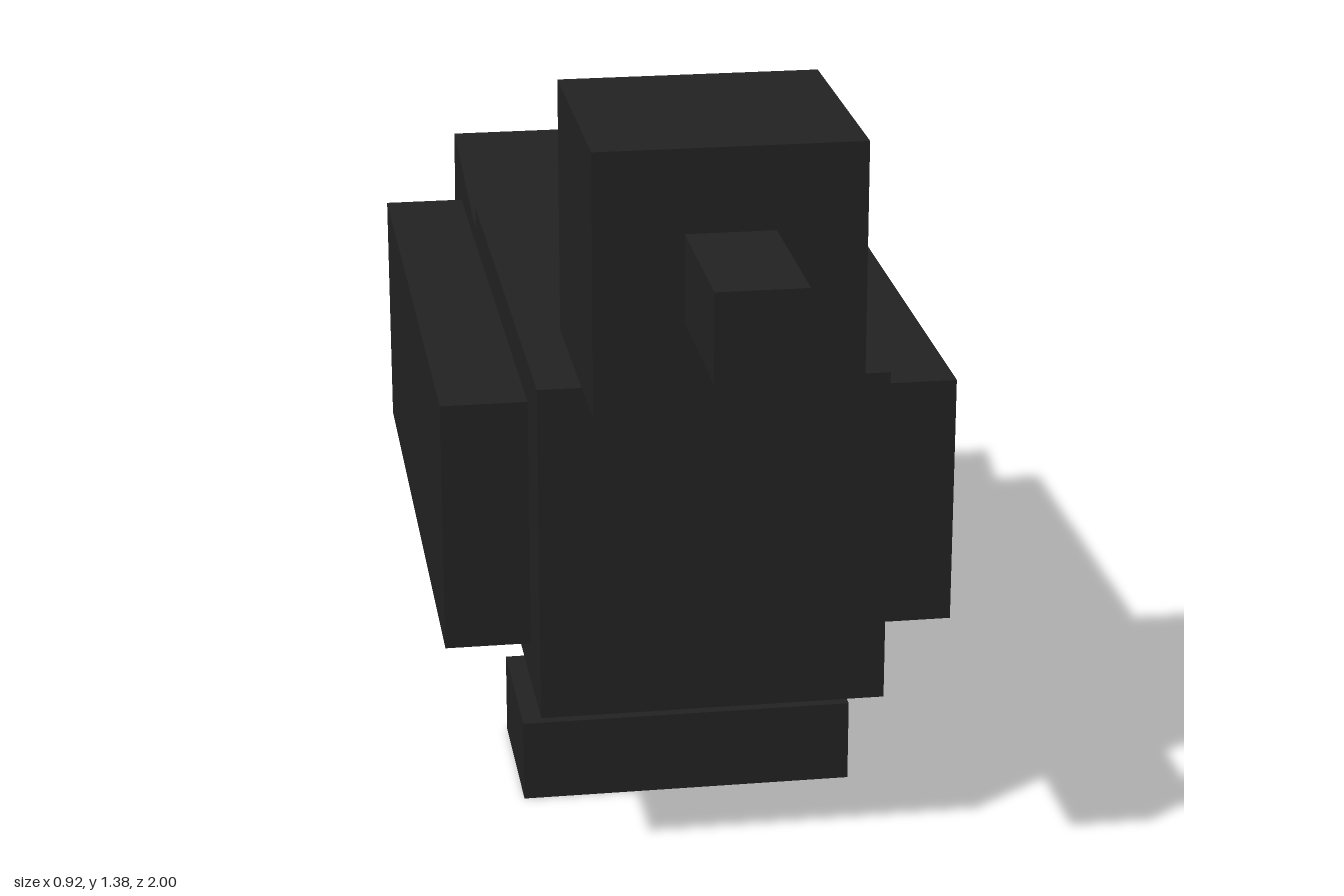
import * as THREE from 'three';

const U = 0.0768; // one block unit

export function createModel() {
  const group = new THREE.Group();
  const black = new THREE.MeshStandardMaterial({ color: 0x222222 });
  black.name = 'black';

  // box given by its size in block units and its centre
  function box(name, w, h, d, x, y, z) {
    const mesh = new THREE.Mesh(new THREE.BoxGeometry(w * U, h * U, d * U), black);
    mesh.name = name;
    mesh.position.set(x, y, z);
    group.add(mesh);
    return mesh;
  }

  box('body', 8, 8, 14, 0, 8 * U, 0.002);
  box('head', 6, 6, 6, 0, 15 * U, 0.463);
  box('beak', 2, 2, 4, 0, 15.1 * U, 0.846);

  // tail slopes up towards the back
  const tail = box('tail', 8, 2, 6.25, 0, 0.833, -0.748);
  tail.rotation.x = THREE.MathUtils.degToRad(10);

  for (const [side, s] of [['left', 1], ['right', -1]]) {
    box(side + 'Wing', 2, 6, 16, s * 5 * U, 8 * U, -0.228);
    box(side + 'Leg', 2, 2, 2, s * 2 * U, 3 * U, 0.004);
    box(side + 'Foot', 4, 2, 4, s * 2 * U, U, 0.081);
  }
  return group;
}
